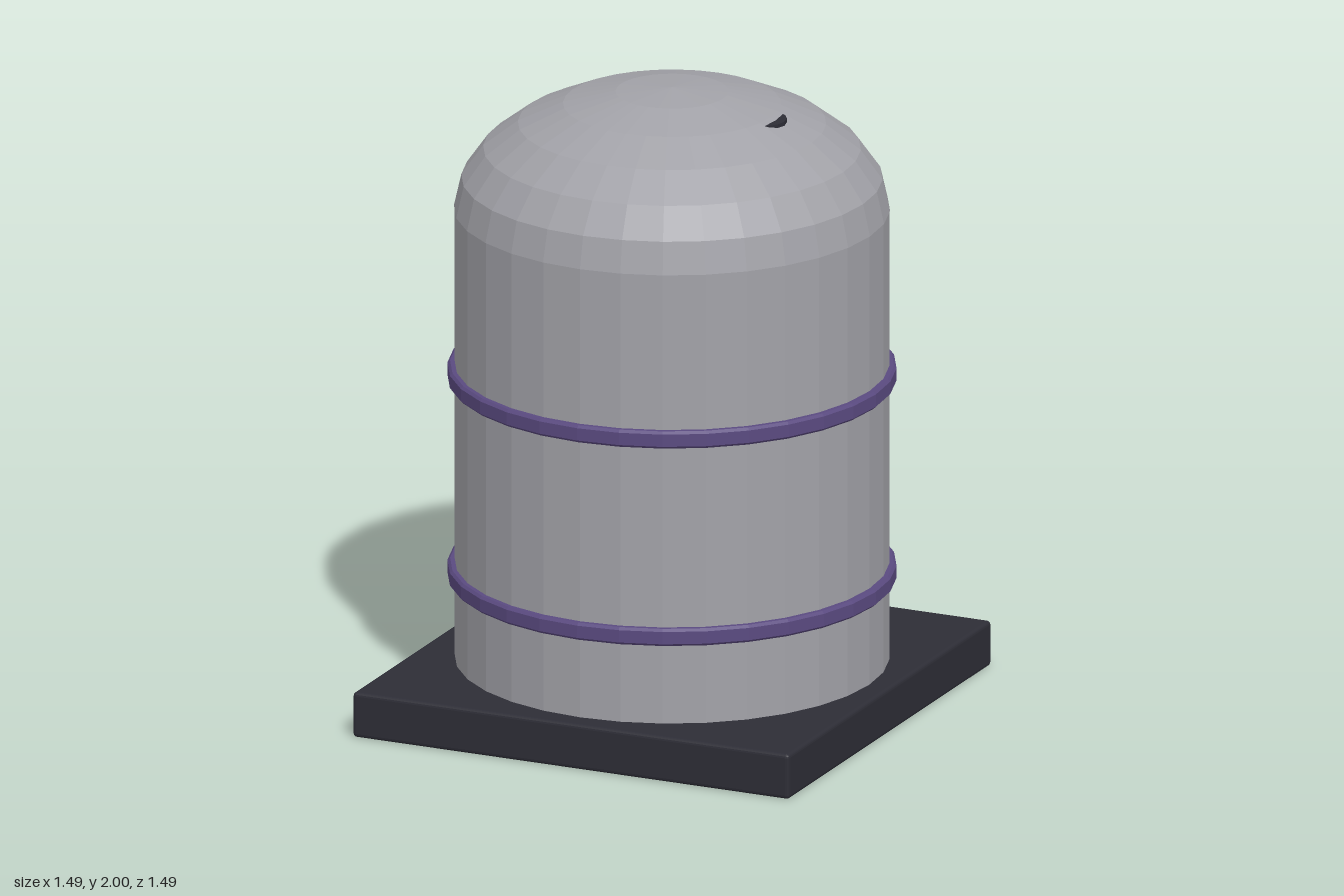
import * as THREE from 'three';
import { RoundedBoxGeometry } from 'three/addons/geometries/RoundedBoxGeometry.js';

const SIDES = 32;

function material(name, color, flatShading = true) {
  const m = new THREE.MeshStandardMaterial({ color, flatShading });
  m.name = name;
  return m;
}

export function createModel() {
  const group = new THREE.Group();
  const shell = material('shell grey', 0xa2a2a8);
  const dark = material('dark plinth', 0x2d2d36);
  const purple = material('purple trim', 0x5a4a80);
  const glass = material('pale blue glass', 0x7fa6b8);

  const add = (name, geometry, mat, x, y, z) => {
    const mesh = new THREE.Mesh(geometry, mat);
    mesh.name = name;
    mesh.position.set(x, y, z);
    group.add(mesh);
    return mesh;
  };

  // Square plinth with softened edges
  add('plinth', new RoundedBoxGeometry(1.49, 0.146, 1.49, 2, 0.012), dark, 0, 0.073, 0);

  // Tank wall
  add('tankWall', new THREE.CylinderGeometry(0.674, 0.674, 1.46, SIDES), shell, 0, 0.876, 0);

  // Flattened dome roof
  const dome = new THREE.SphereGeometry(0.676, SIDES, 6, 0, Math.PI * 2, 0, Math.PI / 2);
  dome.scale(1, 0.394 / 0.676, 1);
  add('domeRoof', dome, shell, 0, 1.606, 0);

  // Bevelled hoops around the wall
  const hoopProfile = [
    [0.66, -0.028], [0.688, -0.028], [0.696, -0.02],
    [0.696, 0.02], [0.688, 0.028], [0.66, 0.028],
  ].map(([r, y]) => new THREE.Vector2(r, y));
  const hoop = new THREE.LatheGeometry(hoopProfile, SIDES);
  add('lowerHoop', hoop, purple, 0, 0.431, 0);
  add('upperHoop', hoop, purple, 0, 1.074, 0);

  // Level gauge on the back: glass strip with a coloured fill
  add('gaugeGlass', new THREE.BoxGeometry(0.074, 0.9, 0.03), glass, 0, 0.87, -0.67);
  add('gaugeFill', new THREE.BoxGeometry(0.046, 0.62, 0.006), purple, 0, 0.74, -0.683);

  // Roof hatch, almost sunk into the dome
  add('roofHatch', new THREE.CylinderGeometry(0.084, 0.084, 0.04, 16), dark, 0.3, 1.92, 0);

  return group;
}
